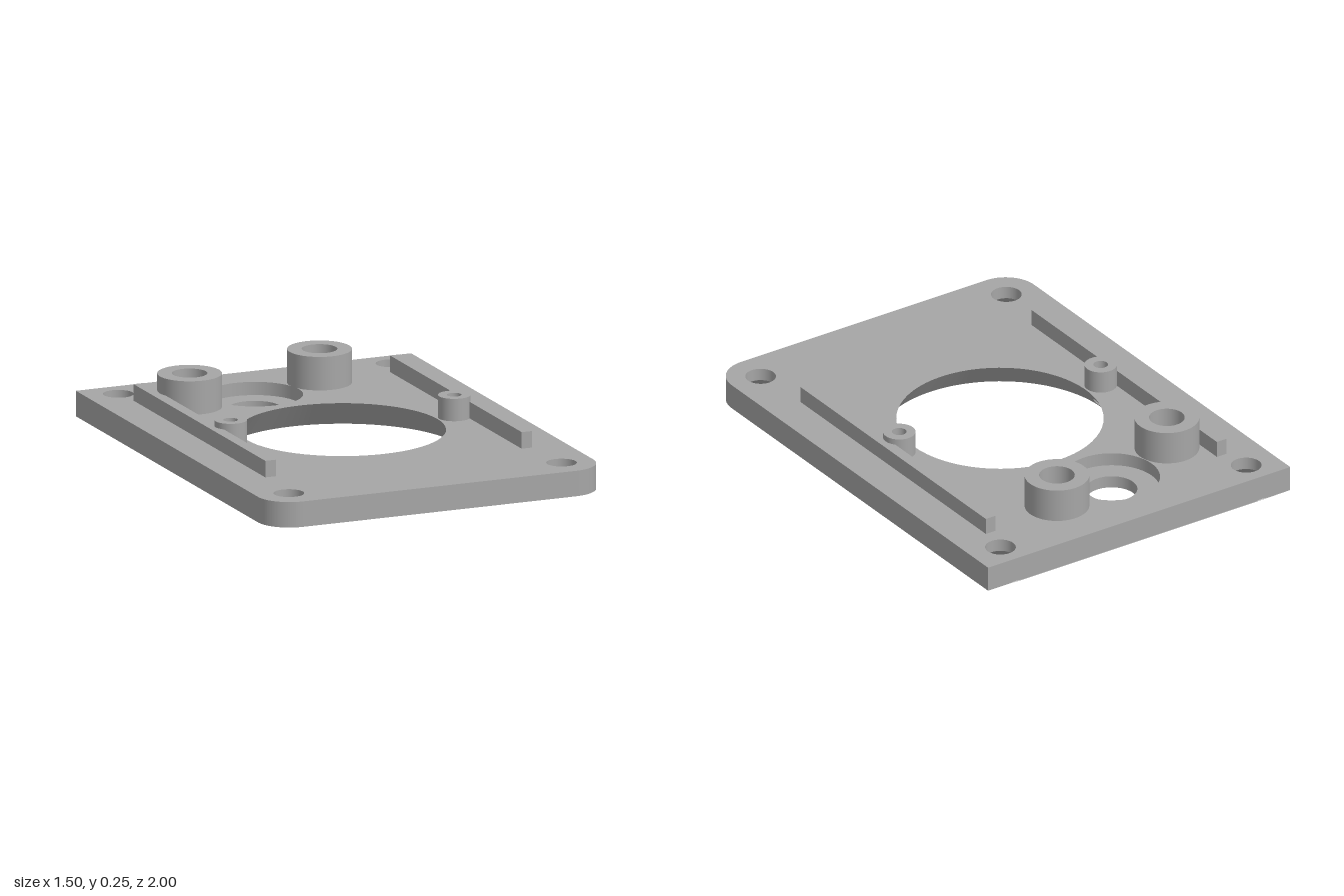
import * as THREE from 'three';

const T = 0.108;                       // plate thickness
const CZ = 0.01;                       // z of the large opening
const R_TOP = 0.425, R_BOT = 0.505;    // large opening, flared downwards
const FLOOR = 0.0135, CUT = 0.495;     // pin hole floor and where it meets the flare
const PIN = 0.5, PIN_R = 0.03;
const GAP = 0.1;                       // half angle of the flare patch at each pin hole

const grey = new THREE.MeshStandardMaterial({ color: 0xa6a6a6, side: THREE.DoubleSide });
grey.name = 'grey';

function add(parent, name, geometry) {
  const mesh = new THREE.Mesh(geometry, grey);
  mesh.name = name;
  parent.add(mesh);
  return mesh;
}

// Turned part: every profile step is its own surface, so edges stay sharp
function turned(parent, name, x, z, profile, start = 0, length = Math.PI * 2) {
  const group = new THREE.Group();
  group.name = name;
  group.position.set(x, 0, z);
  for (let i = 0; i < profile.length - 1; i++) {
    const pts = [profile[i], profile[i + 1]].map(p => new THREE.Vector2(...p));
    add(group, name + 'Surface', new THREE.LatheGeometry(pts, 64, start, length));
  }
  parent.add(group);
}

const circle = (x, z, r) => new THREE.Path().absarc(x, z, r, 0, Math.PI * 2, false);

// Horizontal face from a plan outline (x, z)
function face(shape, y, up = false) {
  const g = new THREE.ShapeGeometry(shape, 32).rotateX(Math.PI / 2).translate(0, y, 0);
  if (up) {
    const idx = g.index.array;
    for (let i = 0; i < idx.length; i += 3) [idx[i], idx[i + 1]] = [idx[i + 1], idx[i]];
    g.computeVertexNormals();
  }
  return g;
}

// Vertical wall along a closed plan outline
function wall(points, low, high) {
  const v = [];
  points.forEach((a, i) => {
    const b = points[(i + 1) % points.length];
    const la = low(a), lb = low(b);
    v.push(a.x, la, a.y, a.x, high, a.y, b.x, high, b.y);
    v.push(a.x, la, a.y, b.x, high, b.y, b.x, lb, b.y);
  });
  const g = new THREE.BufferGeometry();
  g.setAttribute('position', new THREE.Float32BufferAttribute(v, 3));
  g.computeVertexNormals();
  return g;
}

const flareY = (x, z) => T * (R_BOT - Math.hypot(x, z - CZ)) / (R_BOT - R_TOP);

// Plate outline: square at the back, rounded at the front
function outline() {
  const s = new THREE.Shape();
  s.moveTo(-0.75, -1);
  s.lineTo(0.75, -1);
  s.lineTo(0.75, 0.86);
  s.absarc(0.61, 0.86, 0.14, 0, Math.PI / 2, false);
  s.lineTo(-0.61, 1);
  s.absarc(-0.61, 0.86, 0.14, Math.PI / 2, Math.PI, false);
  s.lineTo(-0.75, -1);
  return s;
}

export function createModel() {
  const model = new THREE.Group();
  model.name = 'mountingPlate';
  const corners = [-1, 1].flatMap(s => [[s * 0.61, -0.885], [s * 0.61, 0.855]]);
  const port = [-0.1, -0.655];

  // Plate faces and rim
  const top = outline(), bottom = outline();
  top.holes.push(circle(0, CZ, R_TOP), circle(...port, 0.198));
  bottom.holes.push(circle(0, CZ, R_BOT), circle(...port, 0.165));
  for (const c of corners) {
    top.holes.push(circle(...c, 0.063));
    bottom.holes.push(circle(...c, 0.118));
  }
  for (const s of [-1, 1]) top.holes.push(circle(s * PIN, CZ, PIN_R));
  add(model, 'plateTop', face(top, T, true));
  add(model, 'plateBottom', face(bottom, 0));
  add(model, 'plateRim', wall(outline().getPoints(14), () => 0, T));

  // Countersunk corner holes
  for (const c of corners) turned(model, 'cornerHole', ...c, [[0.118, 0], [0.063, 0.055], [0.063, T]]);

  // Stepped port with a shallow groove underneath
  turned(model, 'port', ...port, [[0.165, 0], [0.165, 0.012], [0.14, 0.012], [0.14, 0],
    [0.105, 0], [0.105, 0.052], [0.198, 0.052], [0.198, T]]);

  // Tall bosses with blind bores
  for (const [x, z] of [[-0.425, -0.58], [0.22, -0.725]]) {
    turned(model, 'boss', x, z, [[0.133, T], [0.133, 0.25], [0.073, 0.25], [0.073, 0.12], [0, 0.12]]);
  }

  for (const s of [-1, 1]) {
    // Side rail
    const rail = add(model, 'rail', new THREE.BoxGeometry(0.047, 0.08, 1.345));
    rail.position.set(s * 0.5735, 0.138, -0.0875);

    // Flared wall of the large opening, between the pin holes
    turned(model, 'openingFlare', 0, CZ, [[R_BOT, 0], [R_TOP, T]], s * Math.PI / 2 + GAP, Math.PI - 2 * GAP);

    // Small post and its pin hole, which breaks through the flare
    turned(model, 'post', s * PIN, CZ, [[0.067, T], [0.067, 0.203], [PIN_R, 0.203], [PIN_R, T]]);
    const ring = circle(s * PIN, CZ, PIN_R).getPoints(16).slice(0, -1);
    add(model, 'pinHoleWall', wall(ring, p => Math.max(FLOOR, flareY(p.x, p.y)), T));

    const a = Math.acos((CUT - PIN) / PIN_R);
    const arc = (from, to) => Array.from({ length: 17 }, (_, i) => {
      const t = from + (to - from) * i / 16;
      return new THREE.Vector2(s * (PIN + PIN_R * Math.cos(t)), CZ + PIN_R * Math.sin(t));
    });
    add(model, 'pinHoleFloor', face(new THREE.Shape(arc(-a, a)), FLOOR, true));

    // Flare patch with the break-through cut out
    const edge = (r, dir) => Array.from({ length: 9 }, (_, i) => {
      const t = dir * GAP * (i / 4 - 1);
      return new THREE.Vector2(s * r * Math.cos(t), CZ + r * Math.sin(t));
    });
    const patch = new THREE.Shape([...edge(R_BOT, 1), ...edge(R_TOP, -1)]);
    patch.holes.push(new THREE.Path(arc(a, 2 * Math.PI - a)));
    const g = face(patch, 0);
    const pos = g.attributes.position;
    for (let i = 0; i < pos.count; i++) pos.setY(i, flareY(pos.getX(i), pos.getZ(i)));
    g.computeVertexNormals();
    add(model, 'openingFlarePatch', g);
  }
  return model;
}
